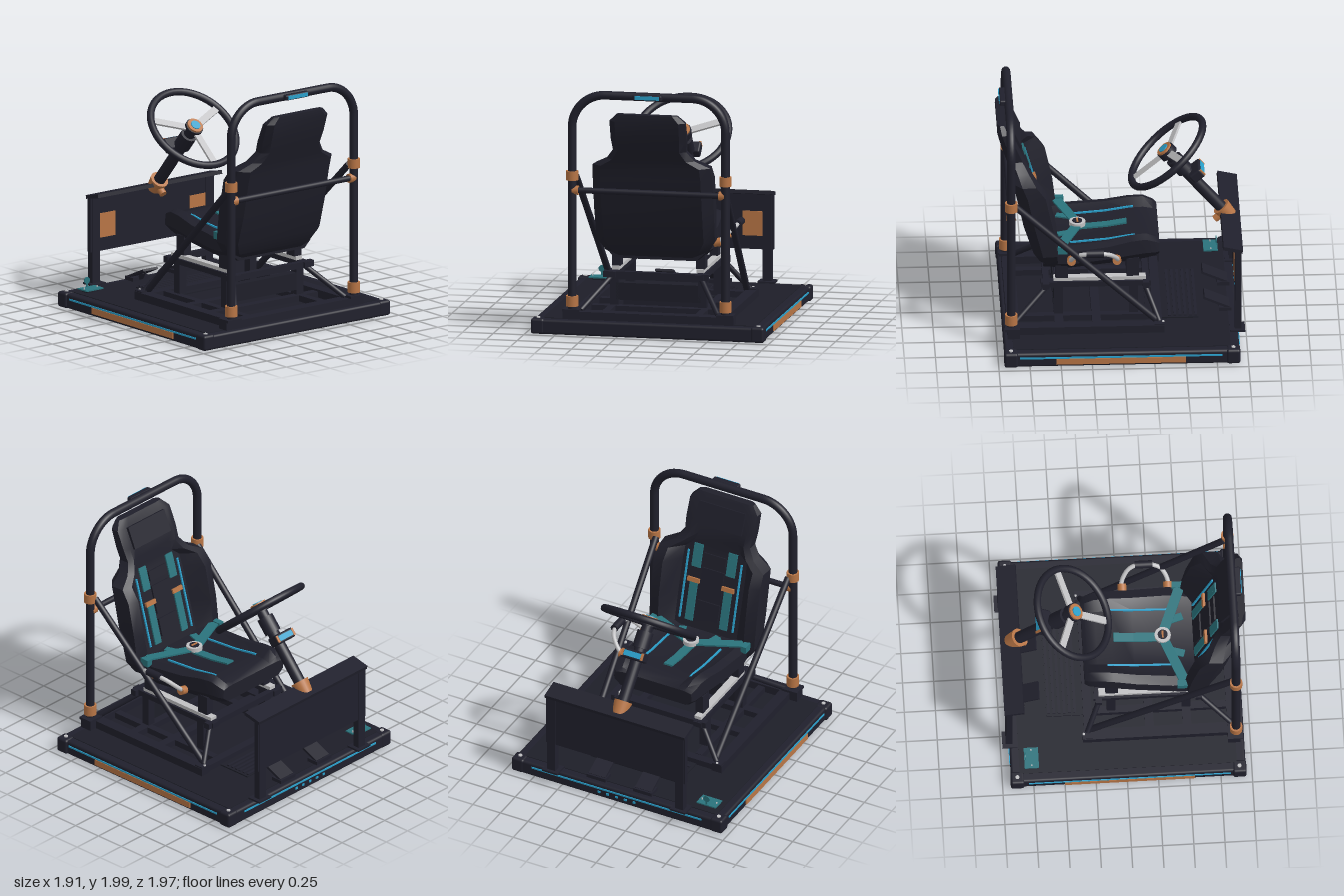
import * as THREE from 'three';
import { toCreasedNormals } from 'three/addons/utils/BufferGeometryUtils.js';
import { RoundedBoxGeometry } from 'three/addons/geometries/RoundedBoxGeometry.js';

const mat = (name, color) => Object.assign(new THREE.MeshStandardMaterial({ color }), { name });
const V = (x, y, z) => new THREE.Vector3(x, y, z);

export function createModel() {
  const root = new THREE.Group();
  root.name = 'drivingRig';
  const frame = mat('frameBlack', 0x20202c), deck = mat('deckBlack', 0x1d1e28), cloth = mat('seatBlack', 0x1f1f2a);
  const copper = mat('copper', 0xb87545), silver = mat('silver', 0xc0c0c2);
  const teal = mat('teal', 0x2a737c), blue = mat('lightBlue', 0x2a9fca);

  const add = (name, geo, m, p = [0, 0, 0], parent = root) => {
    const mesh = new THREE.Mesh(geo, m);
    mesh.name = name;
    mesh.position.set(...p);
    parent.add(mesh);
    return mesh;
  };
  const box = (name, s, p, m = frame, parent = root) => add(name, new THREE.BoxGeometry(...s), m, p, parent);
  const cyl = (name, r, h, p, m = frame, parent = root, r2 = r) =>
    add(name, new THREE.CylinderGeometry(r, r2, h, 24), m, p, parent);
  // Round rod between two points
  const rod = (name, a, b, r, m = frame) => {
    const A = V(...a), B = V(...b), d = B.clone().sub(A);
    const mesh = cyl(name, r, d.length(), A.add(B).multiplyScalar(0.5).toArray(), m);
    mesh.quaternion.setFromUnitVectors(V(0, 1, 0), d.normalize());
    return mesh;
  };
  // Flat bar between two points, its width kept level
  const bar = (name, a, b, w, t, m = frame) => {
    const A = V(...a), B = V(...b);
    const mesh = box(name, [w, t, A.distanceTo(B)], A.clone().add(B).multiplyScalar(0.5).toArray(), m);
    mesh.lookAt(B);
    return mesh;
  };
  const sides = f => [-1, 1].forEach(f);

  // Base platform
  add('basePlatform', new RoundedBoxGeometry(1.88, 0.12, 1.88, 2, 0.02), frame, [0, 0.065, 0.01]);
  box('deckPlate', [1.74, 0.012, 1.74], [0, 0.124, 0.01], deck);
  sides(s => {
    sides(t => {
      add('baseCorner', new RoundedBoxGeometry(0.11, 0.125, 0.11, 2, 0.02), frame, [s * 0.9, 0.068, 0.01 + t * 0.89]);
      cyl('cornerBolt', 0.016, 0.012, [s * 0.9, 0.133, 0.01 + t * 0.89], silver);
    });
    box('sideLightStrip', [0.008, 0.014, 1.62], [s * 0.943, 0.086, 0.02], blue);
    box('sideCopperPlate', [0.014, 0.05, 1.04], [s * 0.943, 0.053, 0.02], copper);
  });
  box('rearLightStrip', [1.54, 0.014, 0.008], [0, 0.09, -0.933], blue);
  for (let i = -2; i <= 2; i++) box('rearLightDot', [0.025, 0.018, 0.008], [i * 0.08, 0.055, -0.933], blue);

  // Floor frame
  box('rearFloorBeam', [1.4, 0.065, 0.1], [0, 0.163, 0.87]);
  for (const z of [-0.29, 0.2, 0.5]) box('floorCrossBeam', [1.16, 0.05, 0.07], [0, 0.155, z]);
  sides(s => {
    box('floorRail', [0.09, 0.065, 1.26], [s * 0.59, 0.163, 0.29]);
    box('innerFloorRail', [0.06, 0.05, 1.1], [s * 0.38, 0.155, 0.3]);
    box('braceFoot', [0.08, 0.012, 0.08], [s * 0.59, 0.2, -0.3]);
    cyl('braceFootBolt', 0.01, 0.01, [s * 0.59, 0.208, -0.33], silver);
    box('postFoot', [0.14, 0.02, 0.12], [s * 0.63, 0.205, 0.88]);
  });

  // Roll hoop with collars, cross tube and braces
  const hoop = new THREE.CurvePath();
  const pz = 0.888, hx = 0.628, hy = 1.963, k = 0.27;
  hoop.add(new THREE.LineCurve3(V(-hx, 0.2, pz), V(-hx, hy - k, pz)));
  hoop.add(new THREE.CubicBezierCurve3(V(-hx, hy - k, pz), V(-hx, hy - k * 0.45, pz), V(-hx + k * 0.45, hy, pz), V(-hx + k, hy, pz)));
  hoop.add(new THREE.LineCurve3(V(-hx + k, hy, pz), V(hx - k, hy, pz)));
  hoop.add(new THREE.CubicBezierCurve3(V(hx - k, hy, pz), V(hx - k * 0.45, hy, pz), V(hx, hy - k * 0.45, pz), V(hx, hy - k, pz)));
  hoop.add(new THREE.LineCurve3(V(hx, hy - k, pz), V(hx, 0.2, pz)));
  add('rollHoop', new THREE.TubeGeometry(hoop, 140, 0.035, 16), frame);
  rod('hoopCrossTube', [-0.6, 1.18, pz], [0.6, 1.18, pz], 0.024);
  add('hoopLightHousing', new RoundedBoxGeometry(0.24, 0.045, 0.05, 2, 0.012), frame, [0, 1.965, 0.935]);
  box('hoopLight', [0.2, 0.03, 0.006], [0, 1.966, 0.962], blue);
  sides(s => {
    cyl('lowerCollar', 0.05, 0.085, [s * hx, 0.277, pz], copper);
    cyl('upperCollar', 0.05, 0.075, [s * hx, 1.3, pz], copper);
    rod('crossTubeCap', [s * 0.575, 1.18, pz], [s * 0.625, 1.18, pz], 0.037, copper);
    rod('diagonalBrace', [s * 0.6, 1.29, 0.86], [s * 0.55, 0.2, -0.28], 0.027);
    rod('frontStrut', [s * 0.57, 0.2, -0.3], [s * 0.38, 0.44, -0.19], 0.022);
    rod('rearStrut', [s * 0.56, 0.2, 0.86], [s * 0.37, 0.43, 0.59], 0.022);
  });

  // Seat stand
  sides(s => {
    box('standRail', [0.07, 0.045, 0.88], [s * 0.36, 0.453, 0.2]);
    box('slideRail', [0.06, 0.03, 0.74], [s * 0.345, 0.49, 0.17], silver);
    for (const z of [0.5, -0.1]) box('standLeg', [0.07, 0.25, 0.07], [s * 0.36, 0.315, z]);
    box('rearSeatBracket', [0.07, 0.14, 0.1], [s * 0.345, 0.575, 0.475]);
    box('frontSeatBracket', [0.07, 0.16, 0.1], [s * 0.33, 0.585, -0.095]);
  });
  for (const z of [0.6, -0.2]) box('standCrossBar', [0.86, 0.05, 0.05], [0, 0.453, z]);
  box('standApron', [0.76, 0.04, 0.05], [0, 0.415, 0.5]);
  box('controlBox', [0.69, 0.14, 0.07], [0, 0.3, 0.5], deck);

  // Seat shells: rows of [position, half width, outer face, bolster face, padded face]
  const loft = (rows, map) => {
    const pos = [], idx = [], n = 10;
    rows.forEach(([t, w, r, b, c]) => {
      const q = r - 0.35 * (r - b);
      const half = [[0.84 * w, r], [w, q], [w * 0.98, b + (r - b) * 0.1], [0.8 * w, b], [0.58 * w, c]];
      const ring = [...half, ...half.map(([x, v]) => [-x, v]).reverse()];
      ring.forEach(([x, v]) => pos.push(...map(x, t, v)));
    });
    for (let i = 0; i < rows.length - 1; i++) for (let j = 0; j < n; j++) {
      const a = i * n + j, b = i * n + (j + 1) % n;
      idx.push(a, b, b + n, a, b + n, a + n);
    }
    const e = (rows.length - 1) * n;
    for (let j = 0; j < 4; j++) { // end caps, strip by strip
      const a = j, b = j + 1, c = n - 2 - j, d = n - 1 - j;
      idx.push(a, c, b, a, d, c, e + a, e + b, e + c, e + a, e + c, e + d);
    }
    const g = new THREE.BufferGeometry();
    g.setAttribute('position', new THREE.Float32BufferAttribute(pos, 3));
    g.setIndex(idx);
    return toCreasedNormals(g, 0.5);
  };
  const backRows = [
    [0.585, 0.31, 0.6, 0.51, 0.53], [0.65, 0.42, 0.65, 0.49, 0.55], [0.75, 0.485, 0.7, 0.49, 0.58],
    [1.0, 0.49, 0.78, 0.52, 0.65], [1.28, 0.49, 0.84, 0.58, 0.73], [1.38, 0.48, 0.86, 0.66, 0.76],
    [1.44, 0.36, 0.88, 0.72, 0.78], [1.52, 0.3, 0.91, 0.77, 0.79], [1.62, 0.31, 0.945, 0.81, 0.815],
    [1.77, 0.31, 0.985, 0.88, 0.885], [1.83, 0.25, 0.985, 0.925, 0.925]];
  const seatRows = [
    [-0.31, 0.35, -0.67, -0.8, -0.78], [-0.28, 0.37, -0.66, -0.825, -0.8], [-0.2, 0.385, -0.645, -0.86, -0.81],
    [-0.08, 0.395, -0.63, -0.85, -0.8], [0.1, 0.41, -0.615, -0.81, -0.77], [0.4, 0.43, -0.59, -0.78, -0.745],
    [0.62, 0.4, -0.59, -0.77, -0.74]];
  add('seatBack', loft(backRows, (x, t, v) => [x, t, v]), cloth);
  add('seatCushion', loft(seatRows, (x, t, v) => [x, -v, t]), cloth);
  // Height or depth of the padded face at a given position
  const face = (rows, t) => {
    const i = Math.max(1, rows.findIndex(r => r[0] >= t));
    const [a, b] = [rows[i - 1], rows[i]];
    return THREE.MathUtils.lerp(a[4], b[4], (t - a[0]) / (b[0] - a[0]));
  };
  const onBack = (x, y, off = 0.006) => [x, y, face(backRows, y) - off];
  const onSeat = (x, z, off = 0.006) => [x, -face(seatRows, z) + off, z];
  bar('headPad', onBack(0, 1.6), onBack(0, 1.77), 0.42, 0.04, cloth);
  [[0.84, 0.98], [1.02, 1.25], [1.29, 1.37]].forEach(([a, b]) => bar('backPad', onBack(0, a, 0), onBack(0, b, 0), 0.2, 0.03, cloth));

  // Piping and harness
  const strip = (name, pts, w, t, m) => pts.slice(1).forEach((p, i) => bar(name, pts[i], p, w, t, m));
  sides(s => {
    strip('backPiping', [0.8, 1.0, 1.28, 1.36].map(y => onBack(s * 0.24, y)), 0.014, 0.014, blue);
    strip('cushionPiping', [-0.12, -0.08, 0.1, 0.4].map(z => onSeat(s * 0.235, z)), 0.014, 0.014, blue);
    strip('upperShoulderBelt', [1.24, 1.28, 1.38, 1.43].map(y => onBack(s * 0.155, y, 0.01)), 0.08, 0.012, teal);
    strip('lowerShoulderBelt', [0.8, 1.0, 1.12].map(y => onBack(s * 0.155, y, 0.01)), 0.07, 0.012, teal);
    bar('beltAdjuster', onBack(s * 0.155, 1.12, 0.02), onBack(s * 0.155, 1.155, 0.02), 0.11, 0.02, copper);
    bar('beltTail', [s * 0.16, 0.785, 0.5], [s * 0.13, 0.785, 0.4], 0.06, 0.012, teal);
    bar('lapBelt', [s * 0.04, 0.79, 0.345], [s * 0.4, 0.8, 0.49], 0.08, 0.014, teal);
    box('lapBeltAnchor', [0.05, 0.06, 0.09], [s * 0.42, 0.785, 0.475], teal);
  });
  strip('crotchBelt', [-0.06, 0.1, 0.32].map(z => onSeat(0, z, 0.012)), 0.075, 0.014, teal);
  cyl('harnessBuckle', 0.065, 0.035, [0, 0.8, 0.335], silver);
  cyl('buckleFace', 0.04, 0.006, [0, 0.82, 0.335], frame);
  box('buckleLever', [0.06, 0.008, 0.015], [0, 0.825, 0.335], copper);

  // Side grab handle
  const grip = [[0.45, 0.7, 0.03], [0.5, 0.74, 0.035], [0.57, 0.81, 0.09], [0.595, 0.835, 0.16],
    [0.595, 0.835, 0.27], [0.57, 0.81, 0.35], [0.5, 0.74, 0.4], [0.45, 0.7, 0.405]].map(p => V(...p));
  add('grabHandle', new THREE.TubeGeometry(new THREE.CatmullRomCurve3(grip), 48, 0.018, 12), silver);
  rod('handleGrip', [0.597, 0.838, 0.145], [0.597, 0.838, 0.285], 0.031);
  for (const z of [0.035, 0.4]) rod('handleMount', [0.43, 0.7, z], [0.485, 0.71, z], 0.035, copper);

  // Dashboard
  box('dashPanel', [1.26, 0.46, 0.04], [0, 0.63, -0.93]);
  bar('dashCowl', [0, 0.85, -0.965], [0, 0.885, -0.81], 1.27, 0.03);
  sides(s => {
    box('dashLeg', [0.075, 0.73, 0.055], [s * 0.58, 0.495, -0.93]);
    box('dashFoot', [0.14, 0.015, 0.12], [s * 0.58, 0.138, -0.925]);
    box('dashCopperPanel', [0.16, 0.2, 0.008], [s * 0.46, 0.61, -0.907], copper);
  });

  // Steering assembly, tilted toward the driver
  const steer = new THREE.Group();
  steer.name = 'steering';
  steer.position.set(0, 1.43, -0.385);
  steer.rotation.x = 0.705;
  root.add(steer);
  add('wheelRim', new THREE.TorusGeometry(0.373, 0.03, 14, 56), frame, [0, 0, 0], steer).rotation.x = Math.PI / 2;
  for (const a of [0, 1.98, -1.98]) {
    const arm = box('wheelSpoke', [0.058, 0.018, 0.3], [Math.sin(a) * 0.2, 0, Math.cos(a) * 0.2], silver, steer);
    arm.rotation.y = a;
  }
  cyl('wheelHub', 0.075, 0.06, [0, 0, 0], frame, steer);
  cyl('hubRing', 0.066, 0.02, [0, 0.035, 0], copper, steer);
  cyl('hubCap', 0.04, 0.008, [0, 0.048, 0], blue, steer);
  cyl('columnNeck', 0.045, 0.1, [0, -0.06, 0], frame, steer);
  cyl('columnHousing', 0.068, 0.14, [0, -0.15, 0], frame, steer);
  cyl('columnShaft', 0.048, 0.55, [0, -0.46, 0], frame, steer);
  add('switchBox', new RoundedBoxGeometry(0.2, 0.08, 0.11, 2, 0.015), frame, [0, -0.29, -0.065], steer);
  box('switchLight', [0.15, 0.045, 0.008], [0, -0.29, -0.121], blue, steer);
  sides(s => box('switchEnd', [0.02, 0.06, 0.008], [s * 0.088, -0.29, -0.121], copper, steer));
  cyl('columnClamp', 0.075, 0.11, [0, -0.72, 0], copper, steer, 0.06);
  cyl('columnPivot', 0.03, 0.16, [0, -0.72, 0.03], copper, steer).rotation.x = Math.PI / 2;

  // Pedals and heel mat
  box('heelMat', [0.8, 0.01, 0.42], [0, 0.135, -0.41], deck);
  for (let i = 0; i < 6; i++) box('matRib', [0.76, 0.012, 0.022], [0, 0.144, -0.39 - i * 0.042]);
  sides(s => {
    bar('pedal', [s * 0.21, 0.245, -0.67], [s * 0.21, 0.155, -0.87], 0.15, 0.02);
    box('pedalBase', [0.17, 0.03, 0.1], [s * 0.21, 0.145, -0.84]);
    bar('pedalArm', [s * 0.21, 0.14, -0.8], [s * 0.21, 0.2, -0.76], 0.04, 0.02);
  });

  // Corner control plate with gauge
  box('controlPlate', [0.175, 0.01, 0.115], [-0.75, 0.153, -0.76], teal);
  box('controlPlateFoot', [0.12, 0.02, 0.07], [-0.75, 0.139, -0.76], deck);
  cyl('gaugeDisc', 0.028, 0.008, [-0.75, 0.21, -0.808], teal).rotation.x = Math.PI / 2;
  box('gaugeStem', [0.012, 0.05, 0.006], [-0.75, 0.175, -0.808], teal);
  sides(s => cyl('gaugePin', 0.006, 0.012, [-0.75 + s * 0.065, 0.163, -0.76], silver));
  return root;
}
